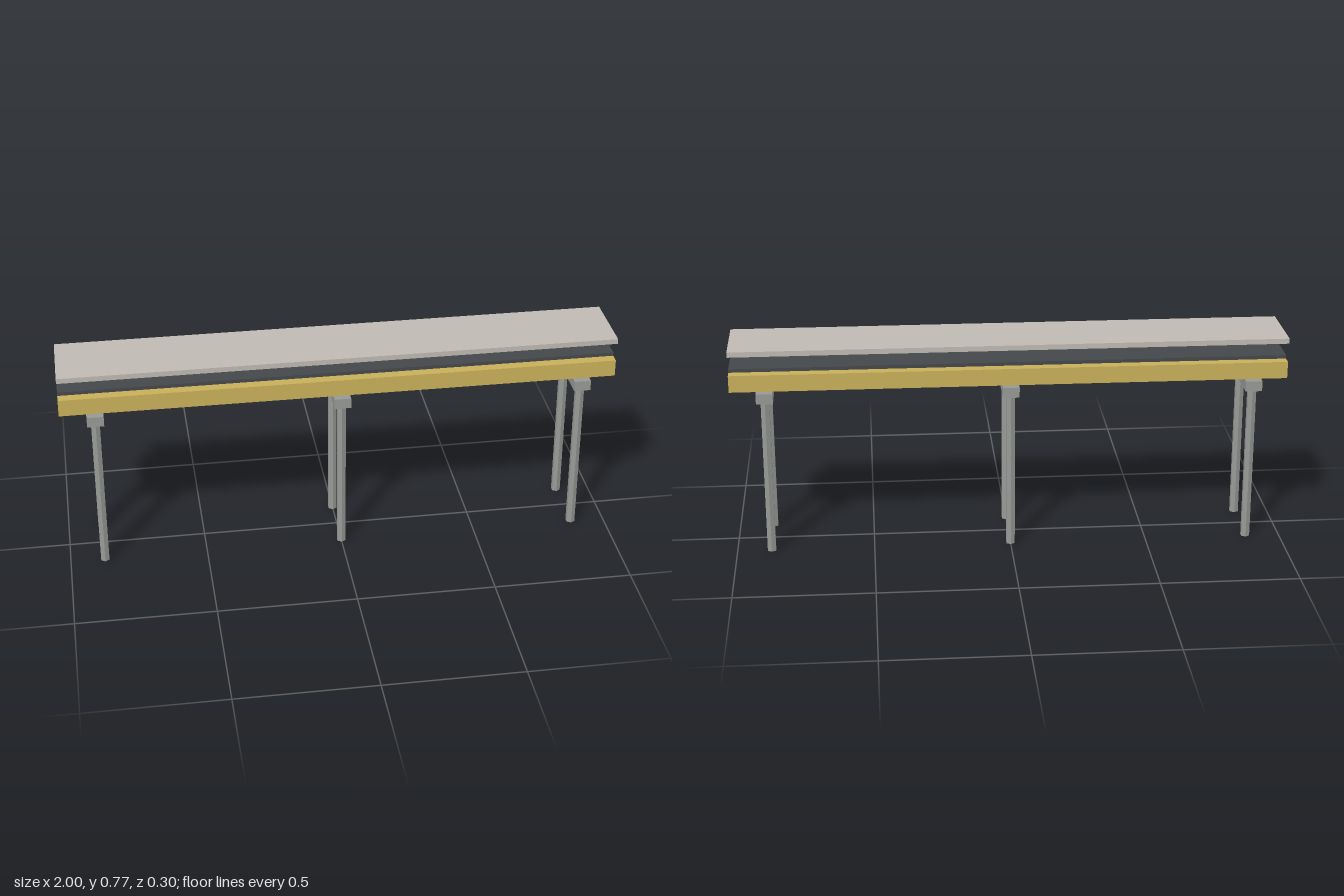
import * as THREE from 'three';

const material = (name, color, extra = {}) => {
  const m = new THREE.MeshStandardMaterial({ color, ...extra });
  m.name = name;
  return m;
};

export function createModel() {
  const yellow = material('yellowPaint', 0xc8b05a);
  const rubber = material('darkRubber', 0x45484b);
  const steel = material('greySteel', 0x979996, { flatShading: true });
  const panel = material('palePanel', 0xbfbab2);

  const model = new THREE.Group();
  model.name = 'conveyor';

  const add = (parent, name, geometry, mat, x, y, z) => {
    const mesh = new THREE.Mesh(geometry, mat);
    mesh.name = name;
    mesh.position.set(x, y, z);
    parent.add(mesh);
  };

  // Box spanning bottom to top, centred on z
  const slab = (parent, name, mat, width, bottom, top, depth) =>
    add(parent, name, new THREE.BoxGeometry(width, top - bottom, depth), mat, 0, (bottom + top) / 2, 0);

  // Bed, belt and the cover floating above
  slab(model, 'bed', yellow, 2, 0.62, 0.682, 0.248);
  slab(model, 'belt', rubber, 2, 0.682, 0.695, 0.175);
  slab(model, 'cover', panel, 2, 0.753, 0.772, 0.26);

  // Three trestles: a crossbeam on two six-sided legs
  const legHeight = 0.582;
  const legGeometry = new THREE.CylinderGeometry(0.0175, 0.0175, legHeight, 6);
  for (const x of [-0.875, 0, 0.875]) {
    const trestle = new THREE.Group();
    trestle.name = 'trestle';
    trestle.position.x = x;
    slab(trestle, 'crossbeam', steel, 0.06, legHeight, 0.62, 0.3);
    for (const side of [-1, 1]) {
      add(trestle, side > 0 ? 'frontLeg' : 'backLeg', legGeometry, steel, 0, legHeight / 2, side * 0.1125);
    }
    model.add(trestle);
  }

  return model;
}
